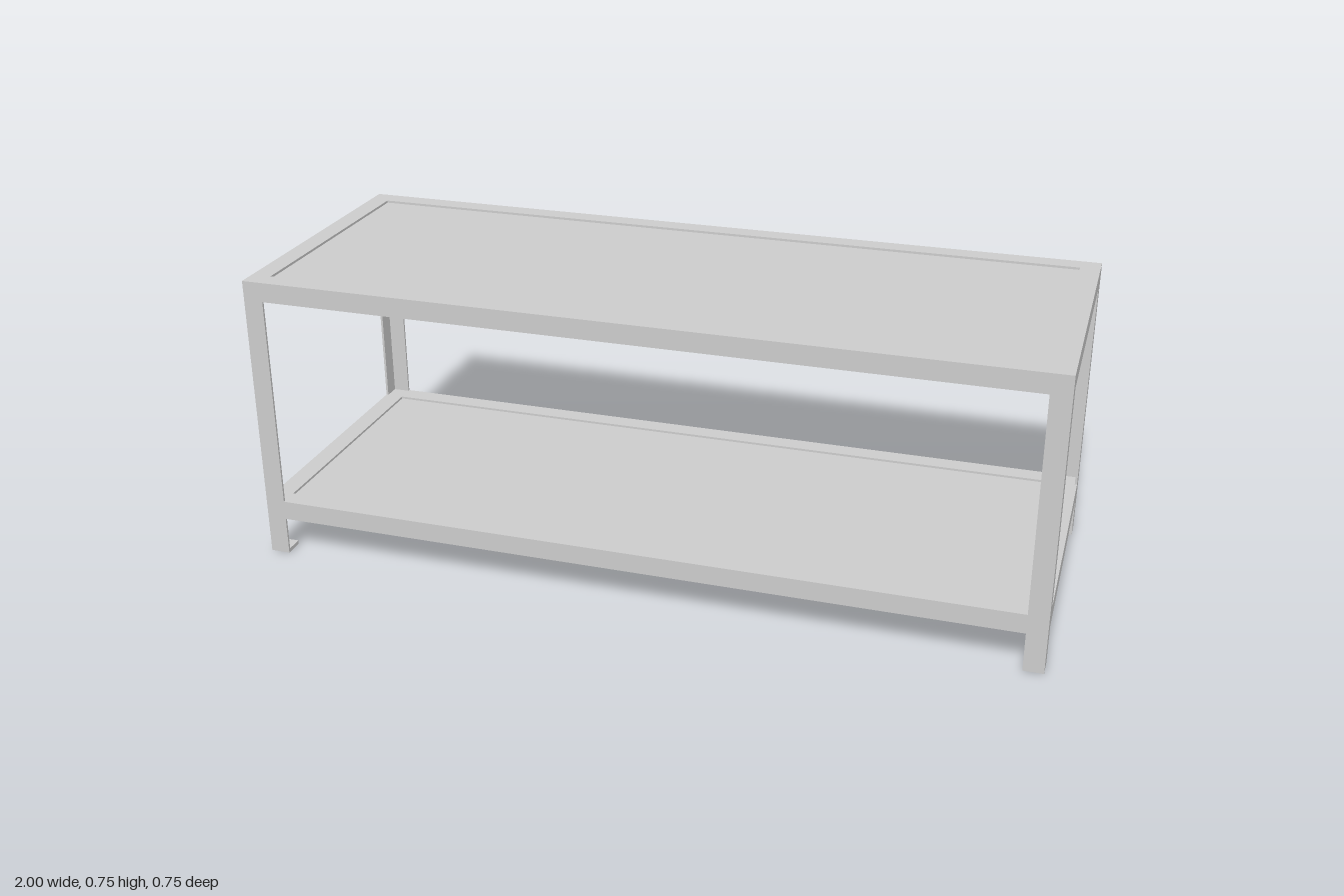
import * as THREE from 'three';

const W = 2, D = 0.75, H = 0.75; // overall size
const A = 0.05, T = 0.006;       // angle-iron width and wall thickness

// Angle iron along z: outer corner at the origin, flanges towards -x and -y
function angleIron(length) {
  const s = new THREE.Shape();
  s.moveTo(0, 0);
  for (const [x, y] of [[-A, 0], [-A, -T], [-T, -T], [-T, -A], [0, -A]]) s.lineTo(x, y);
  return new THREE.ExtrudeGeometry(s, { depth: length, bevelEnabled: false }).translate(0, 0, -length / 2);
}

export function createModel() {
  const model = new THREE.Group();
  const steel = new THREE.MeshStandardMaterial({ color: 0xcccccc });

  function add(parent, name, geometry, x, y, z, turn = 0) {
    const mesh = new THREE.Mesh(geometry, steel);
    mesh.name = name;
    mesh.position.set(x, y, z);
    mesh.rotation.y = turn * Math.PI / 2;
    parent.add(mesh);
  }

  // Legs with square foot plates
  const legGeometry = angleIron(H).rotateX(-Math.PI / 2);
  const footGeometry = new THREE.BoxGeometry(A, 0.01, A);
  [[1, -1], [-1, -1], [-1, 1], [1, 1]].forEach(([sx, sz], k) => {
    add(model, 'leg', legGeometry, sx * W / 2, H / 2, sz * D / 2, k);
    add(model, 'footPlate', footGeometry, sx * (W - A) / 2, 0.005, sz * (D - A) / 2);
  });

  // Shelves: four rails around a panel tucked under their top flanges
  const sideRail = angleIron(D - 2 * A);
  const longRail = angleIron(W);
  const panelHeight = A - T - 0.002;
  const panel = new THREE.BoxGeometry(W - 2 * T, panelHeight, D - 2 * T);
  for (const [name, top] of [['topShelf', H], ['lowerShelf', 0.15]]) {
    const shelf = new THREE.Group();
    shelf.name = name;
    add(shelf, 'sideRail', sideRail, W / 2, top, 0, 0);
    add(shelf, 'backRail', longRail, 0, top, -D / 2, 1);
    add(shelf, 'sideRail', sideRail, -W / 2, top, 0, 2);
    add(shelf, 'frontRail', longRail, 0, top, D / 2, 3);
    add(shelf, 'panel', panel, 0, top - T - panelHeight / 2, 0);
    model.add(shelf);
  }
  return model;
}
